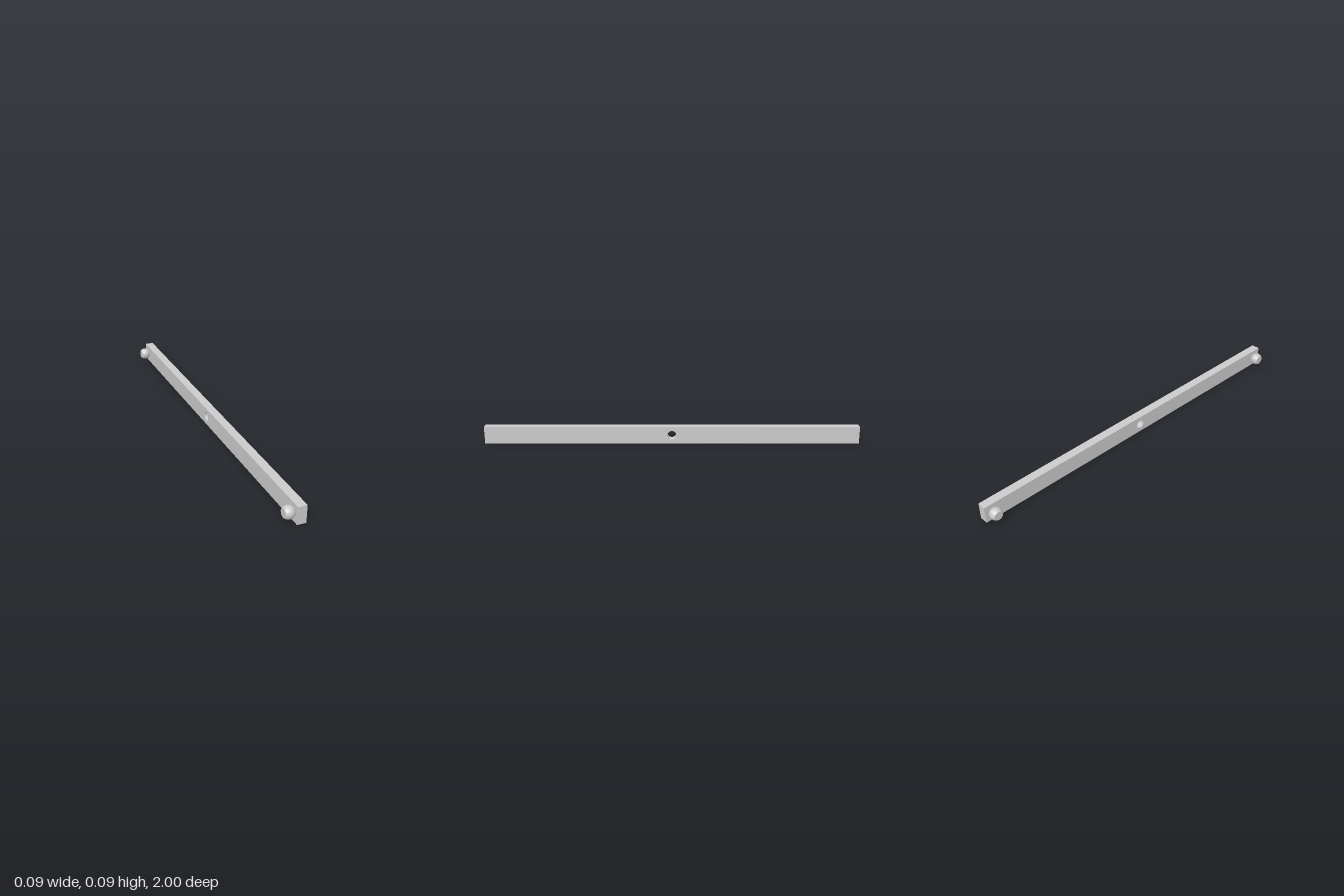
import * as THREE from 'three';

const THICK = 0.046, HEIGHT = 0.093, LENGTH = 2, MID = HEIGHT / 2;
const KNOB_R = 0.033, KNOB_Z = 0.956, HOLE_R = 0.024;

export function createModel() {
  const group = new THREE.Group();
  const material = new THREE.MeshStandardMaterial({ color: 0xcccccc });

  // Flat bar with a round pivot hole through its middle
  const outline = new THREE.Shape();
  outline.moveTo(-LENGTH / 2, 0);
  outline.lineTo(LENGTH / 2, 0);
  outline.lineTo(LENGTH / 2, HEIGHT);
  outline.lineTo(-LENGTH / 2, HEIGHT);
  outline.closePath();
  const hole = new THREE.Path();
  hole.absarc(0, MID, HOLE_R, 0, Math.PI * 2, true);
  outline.holes.push(hole);
  const barGeometry = new THREE.ExtrudeGeometry(outline, {
    depth: THICK, bevelEnabled: false, curveSegments: 32,
  });
  barGeometry.rotateY(Math.PI / 2);
  const bar = new THREE.Mesh(barGeometry, material);
  bar.name = 'bar';
  group.add(bar);

  // Knobs: spheres cut flat on the bar side and on the outer side
  const cut = Math.acos(THICK / 2 / KNOB_R);
  const capRadius = KNOB_R * Math.sin(cut);
  const bandGeometry = new THREE.SphereGeometry(KNOB_R, 48, 24, 0, Math.PI * 2, cut, Math.PI - 2 * cut);
  const capGeometry = new THREE.CircleGeometry(capRadius, 48);
  for (const side of [1, -1]) {
    const knob = new THREE.Group();
    knob.name = side > 0 ? 'frontKnob' : 'backKnob';
    const band = new THREE.Mesh(bandGeometry, material);
    band.name = 'knobBody';
    band.rotation.z = Math.PI / 2;
    const cap = new THREE.Mesh(capGeometry, material);
    cap.name = 'knobEnd';
    cap.rotation.y = -Math.PI / 2;
    cap.position.x = -THICK / 2;
    knob.add(band, cap);
    knob.position.set(-THICK / 2, MID, side * KNOB_Z);
    group.add(knob);
  }
  return group;
}
